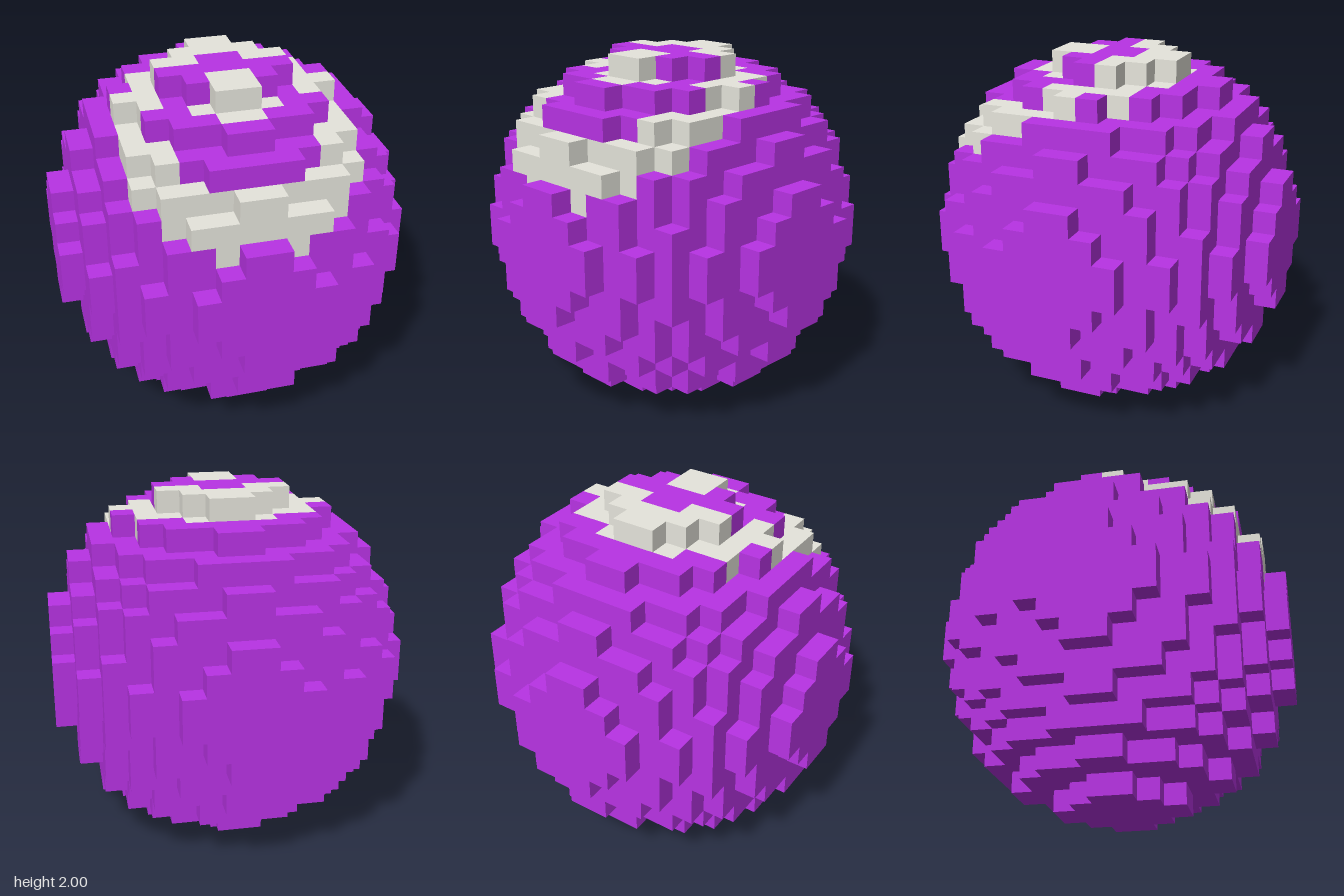
import * as THREE from 'three';
import { mergeGeometries } from 'three/addons/utils/BufferGeometryUtils.js';

const CELL = 0.125; // the ball is 16 cells across
const HALF = 8;

// Cells whose centre lies inside the ball
const inside = (i, j, k) =>
  (i + 0.5) ** 2 + (j + 0.5) ** 2 + (k + 0.5) ** 2 < HALF * HALF;

// Pale pattern seen from above: for each z row, the cells out from the centre line
const PALE_ROWS = {
  '-3': [0, 1], '-2': [0, 1, 2, 3], '-1': [1, 2, 3],
  0: [3, 4], 1: [0, 3, 4], 2: [0, 1, 4], 3: [0, 3, 4],
  4: [3, 4], 5: [2, 3], 6: [0, 1, 2],
};
// Pale cells lower down the front, as "out,up,forward"
const PALE_FRONT = new Set(['1,4,5', '0,3,6', '3,3,5', '1,2,6']);

function isPale(i, j, k) {
  const out = i < 0 ? -1 - i : i; // mirrored left and right
  if (PALE_FRONT.has(`${out},${j},${k}`)) return true;
  const isTop = j > 0 && !inside(i, j + 1, k);
  return isTop && (PALE_ROWS[k] ?? []).includes(out);
}

// One outward square for each of the six cell sides
const SIDES = [
  [1, 0, 0], [-1, 0, 0], [0, 1, 0], [0, -1, 0], [0, 0, 1], [0, 0, -1],
].map(([x, y, z]) => {
  const face = new THREE.PlaneGeometry(CELL, CELL);
  face.rotateX(-y * Math.PI / 2);
  face.rotateY(x * Math.PI / 2 + (z < 0 ? Math.PI : 0));
  face.translate(x * CELL / 2, y * CELL / 2, z * CELL / 2);
  return { x, y, z, face };
});

export function createModel() {
  const purple = new THREE.MeshStandardMaterial({ color: 0xb833e4 });
  purple.name = 'purple';
  const paleGrey = new THREE.MeshStandardMaterial({ color: 0xe5e4db });
  paleGrey.name = 'pale grey';

  // Collect only the exposed cell sides, sorted by colour
  const bodyFaces = [];
  const markingFaces = [];
  for (let i = -HALF; i < HALF; i++)
    for (let j = -HALF; j < HALF; j++)
      for (let k = -HALF; k < HALF; k++) {
        if (!inside(i, j, k)) continue;
        const list = isPale(i, j, k) ? markingFaces : bodyFaces;
        for (const { x, y, z, face } of SIDES) {
          if (inside(i + x, j + y, k + z)) continue;
          list.push(face.clone().translate(
            (i + 0.5) * CELL, (j + 0.5 + HALF) * CELL, (k + 0.5) * CELL));
        }
      }

  const body = new THREE.Mesh(mergeGeometries(bodyFaces), purple);
  body.name = 'ballBody';
  const marking = new THREE.Mesh(mergeGeometries(markingFaces), paleGrey);
  marking.name = 'ringMarking';

  const model = new THREE.Group();
  model.name = 'blockBall';
  model.add(body, marking);
  return model;
}
